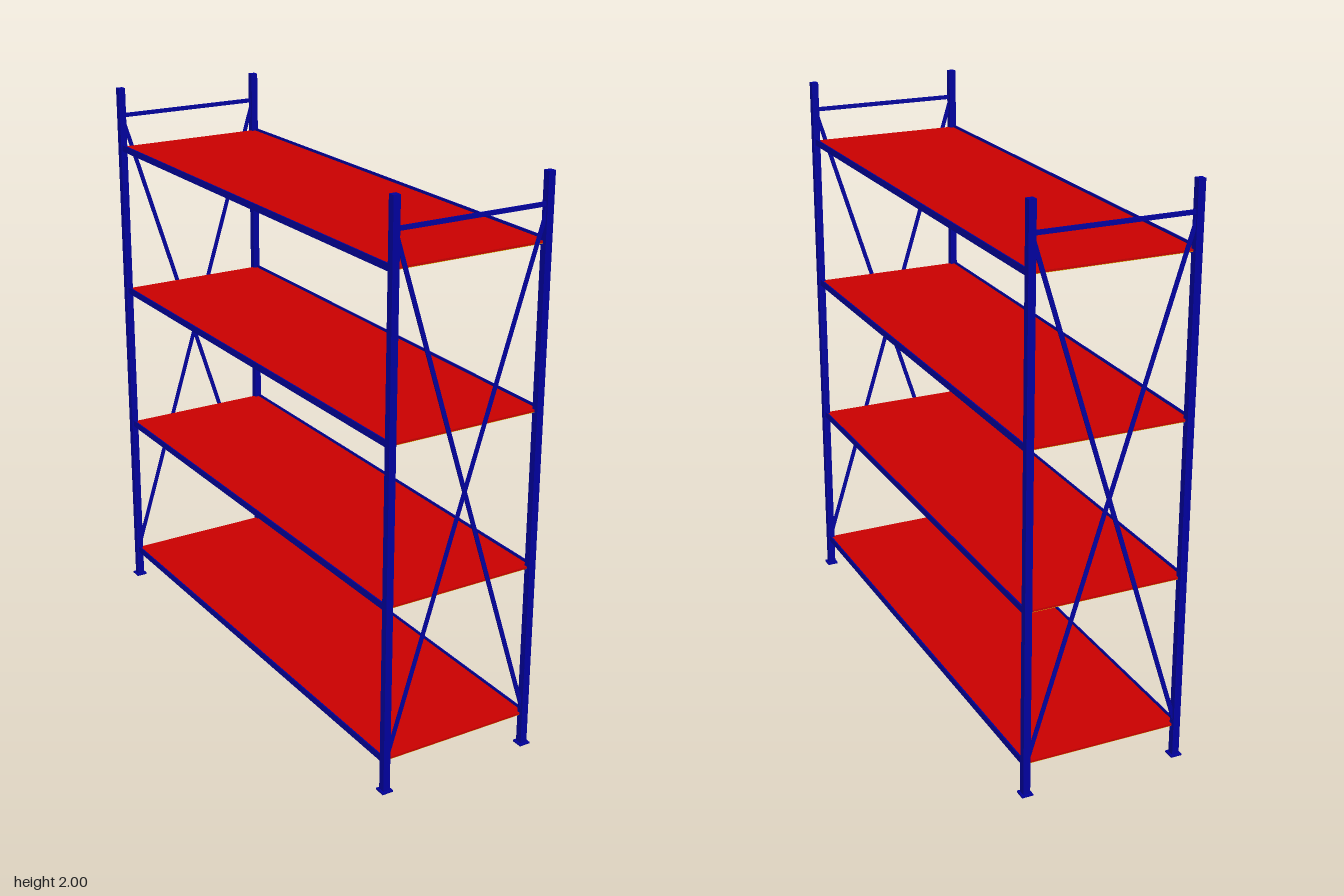
import * as THREE from 'three';

const blue = new THREE.MeshStandardMaterial({ color: 0x0000a0 });
const red = new THREE.MeshStandardMaterial({ color: 0xcc0000 });
const olive = new THREE.MeshStandardMaterial({ color: 0xd8bc00 });

const UP = new THREE.Vector3(0, 1, 0);
const PX = 0.28, PZ = 0.914; // post centres
const LEVELS = [0.116, 0.669, 1.222, 1.776];

export function createModel() {
  const rack = new THREE.Group();
  rack.name = 'shelvingRack';

  function box(name, size, pos, material = blue, parent = rack) {
    const mesh = new THREE.Mesh(new THREE.BoxGeometry(...size), material);
    mesh.name = name;
    mesh.position.set(...pos);
    parent.add(mesh);
    return mesh;
  }

  // Flat bar running between two points, in the parent's own frame
  function bar(name, from, to, width, depth, parent) {
    const a = new THREE.Vector3(...from), b = new THREE.Vector3(...to);
    const mid = a.clone().add(b).multiplyScalar(0.5);
    const mesh = box(name, [width, depth, a.distanceTo(b)], mid.toArray(), blue, parent);
    mesh.quaternion.setFromRotationMatrix(new THREE.Matrix4().lookAt(b, a, UP));
  }

  // Corner posts on base plates
  for (const sx of [-1, 1]) {
    for (const sz of [-1, 1]) {
      box('post', [0.025, 2, 0.025], [sx * PX, 1, sz * PZ]);
      box('footPlate', [0.04, 0.006, 0.04], [sx * PX, 0.003, sz * PZ]);
    }
  }

  // End frames: top rail and crossed braces
  for (const sz of [-1, 1]) {
    const frame = new THREE.Group();
    frame.name = sz > 0 ? 'frontFrame' : 'backFrame';
    rack.add(frame);
    box('topRail', [2 * PX, 0.015, 0.006], [0, 1.897, sz * 0.917], blue, frame);
    for (const s of [-1, 1]) {
      const z = sz * 0.917 + s * 0.002;
      bar('crossBrace', [-s * 0.276, 0.13, z], [s * 0.276, 1.89, z], 0.004, 0.015, frame);
    }
  }

  // Shelves: red deck with olive underside, angle beams and under-braces
  for (const y of LEVELS) {
    const shelf = new THREE.Group();
    shelf.name = 'shelf';
    shelf.position.y = y;
    rack.add(shelf);
    box('deck', [0.564, 0.007, 1.826], [0, 0.0005, 0], red, shelf);
    box('deckUnderside', [0.562, 0.002, 1.824], [0, -0.004, 0], olive, shelf);
    for (const s of [-1, 1]) {
      box('beamWeb', [0.005, 0.024, 2 * PZ], [s * 0.2845, 0.001, 0], blue, shelf);
      box('beamFlange', [0.02, 0.005, 2 * PZ], [s * 0.274, -0.0075, 0], blue, shelf);
      bar('underBrace', [-s * 0.272, -0.0075, -0.9], [s * 0.272, -0.0075, 0.9], 0.012, 0.005, shelf);
    }
  }
  return rack;
}
